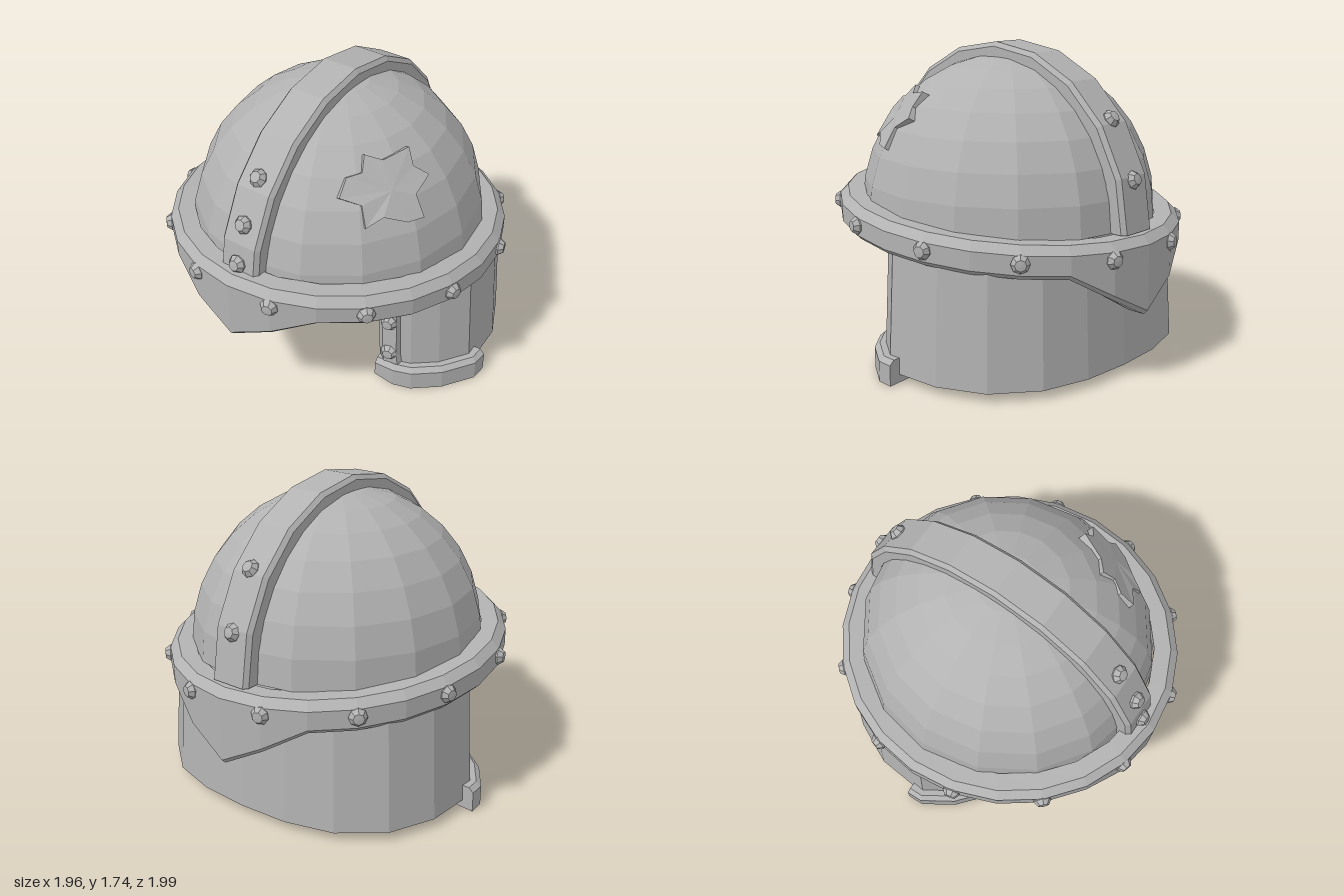
import * as THREE from 'three';

const steel = new THREE.MeshStandardMaterial({ color: 0xb2b2b2, flatShading: true, side: THREE.DoubleSide });
steel.name = 'steel grey';

// Flat-shaded solid through cross-sections of equal length; the winding is set outward by its volume
function loft(sections, ring = false) {
  const tris = [], n = sections[0].length, m = sections.length;
  for (let i = 0; i < (ring ? m : m - 1); i++) {
    const a = sections[i], b = sections[(i + 1) % m];
    for (let j = 0; j < n; j++) {
      const k = (j + 1) % n;
      tris.push([a[j], a[k], b[k]], [a[j], b[k], b[j]]);
    }
  }
  if (!ring) {
    [sections[0], sections[m - 1]].forEach((s, end) => {
      const c = s.reduce((sum, p) => sum.add(p), new THREE.Vector3()).divideScalar(n);
      s.forEach((p, j) => {
        const q = s[(j + 1) % n];
        tris.push(end ? [c, p, q] : [c, q, p]);
      });
    });
  }
  const solid = tris.filter(([a, b, c]) =>
    b.clone().sub(a).cross(c.clone().sub(a)).length() > 1e-8);
  const volume = solid.reduce((v, [a, b, c]) => v + a.dot(b.clone().cross(c)), 0);
  const points = solid.flatMap(([a, b, c]) => (volume > 0 ? [a, b, c] : [a, c, b]));
  const g = new THREE.BufferGeometry().setFromPoints(points);
  g.computeVertexNormals();
  return g;
}

const V = (x, y, z) => new THREE.Vector3(x, y, z);

// Plan path moved outward by d along its averaged normals
function offset(path, d) {
  return path.map(([x, z], i) => {
    const a = path[Math.max(i - 1, 0)], b = path[Math.min(i + 1, path.length - 1)];
    const dx = b[0] - a[0], dz = b[1] - a[1], l = Math.hypot(dx, dz);
    return [x - dz / l * d, z + dx / l * d];
  });
}

export function createModel() {
  const model = new THREE.Group();
  model.name = 'helmet';
  const add = (name, geometry) => {
    const mesh = new THREE.Mesh(geometry, steel);
    mesh.name = name;
    model.add(mesh);
    return mesh;
  };
  // Rounded eight-sided rivet
  const studShape = new THREE.LatheGeometry(
    [[0.046, -0.02], [0.05, 0.008], [0.03, 0.036], [0, 0.038]].map(p => new THREE.Vector2(...p)), 8);
  const addStud = (name, pos, normal) => {
    const stud = add(name, studShape);
    stud.position.copy(pos);
    stud.quaternion.setFromUnitVectors(V(0, 1, 0), normal.clone().normalize());
  };

  // Domed skull
  const dome = new THREE.SphereGeometry(1, 16, 8, 0, Math.PI * 2, 0, Math.PI / 2);
  dome.scale(0.82, 0.87, 0.86).translate(0, 0.8, 0);
  add('dome', dome);

  // Crest strip running front to back, with bevelled edges
  const crest = [];
  for (let i = 0; i <= 10; i++) {
    const t = Math.PI * i / 10;
    crest.push([[-0.12, 0.09], [-0.12, 0.025], [-0.1, 0], [0.1, 0], [0.12, 0.025], [0.12, 0.09]]
      .map(([x, d]) => V(x, 0.8 + (0.94 - d) * Math.sin(t), (0.925 - d) * Math.cos(t))));
  }
  add('crestStrip', loft(crest));
  for (const [y, z] of [[1.4, 0.7], [1.19, 0.835], [0.98, 0.9], [1.37, -0.725], [1.07, -0.875]]) {
    addStud('crestStud', V(0, y, z), V(0, y - 0.8, z));
  }

  // Tilted brow band with a downward point at the front and the back
  const band = [];
  for (let i = 0; i < 24; i++) {
    const a = i * Math.PI / 12, s = Math.sin(a), c = Math.cos(a);
    const top = 0.868 + 0.075 * c;
    const fromPoint = Math.min(i % 12, 12 - i % 12);
    const bottom = 0.7 + 0.08 * c - Math.max(0, 1 - fromPoint / 2) * (c > 0 ? 0.235 : 0.255);
    band.push([[0.14, top], [0.045, top], [0, top - 0.045], [0, bottom + 0.025], [0.025, bottom], [0.12, bottom]]
      .map(([d, y]) => V((0.94 - d) * s, y, (0.995 - d) * c)));
  }
  add('browBand', loft(band, true));
  for (let i = 0; i < 12; i++) {
    const a = (i + 0.5) * Math.PI / 6, s = Math.sin(a), c = Math.cos(a);
    addStud('bandStud', V(0.935 * s, 0.78 + 0.073 * c, 0.985 * c), V(s, 0, c));
  }

  // Neck guard and cheek guards as one flared wall, open at the front
  const cheek = [[0.5, 0.3], [0.61, 0.293], [0.69, 0.265], [0.815, 0.16], [0.922, 0]];
  const half = [...cheek, [0.9, -0.33], [0.785, -0.585], [0.56, -0.765], [0.29, -0.84]];
  const path = [...half, [0, -0.857], ...half.map(([x, z]) => [-x, z]).reverse()];
  const inner = offset(path, -0.08);
  const flare = 0.95;
  add('neckAndCheekGuard', loft(path.map(([x, z], i) => {
    const [u, w] = inner[i];
    return [V(x, 0.05, z), V(x * flare, 0.8, z * flare), V(u * flare, 0.8, w * flare), V(u, 0.05, w)];
  })));

  // Raised edging around each cheek guard
  const railPath = [...cheek, [0.922, -0.07]];
  const rings = [-0.08, 0.03, 0.058].map(d => offset(railPath, d));
  const stripPlan = [[0.475, 0.22], [0.487, 0.29], [0.535, 0.33], [0.62, 0.318], [0.63, 0.26], [0.56, 0.2]];
  for (const side of [1, -1]) {
    const name = side > 0 ? 'left' : 'right';
    const rail = railPath.map((_, i) => {
      const lift = [0.03, 0.005, 0, 0, 0, 0][i];
      return [[0, lift + 0.01], [2, lift], [2, 0.115], [1, 0.14], [0, 0.14]]
        .map(([r, y]) => V(side * rings[r][i][0], y, rings[r][i][1]));
    });
    add(name + 'CheekBottomRail', loft(rail));
    const strip = [[0.03, 1, 0.025], [0.2, 1, 0], [0.8, flare, 0]]
      .map(([y, k, shift]) => stripPlan.map(([x, z]) => V(side * (x * k + shift), y, z * k)));
    add(name + 'CheekFrontStrip', loft(strip));
    // Small tab at the top of the cheek guard
    add(name + 'CheekTab', new THREE.BoxGeometry(0.18, 0.12, 0.06)).position.set(side * 0.43, 0.74, 0.23);
    for (const [x, y] of [[0.572, 0.215], [0.562, 0.435]]) {
      addStud(name + 'CheekStud', V(side * x, y, 0.315), V(side * 0.2, 0, 1));
    }
  }

  // Jagged dent on the left front of the dome: a shallow dished plate, given as z and y
  const jag = [[0.55, 1.35], [0.47, 1.425], [0.40, 1.435], [0.34, 1.5], [0.28, 1.465], [0.135, 1.49], [0.165, 1.41],
    [0.12, 1.36], [0.235, 1.3], [0.25, 1.19], [0.34, 1.195], [0.435, 1.245], [0.525, 1.21], [0.49, 1.31]];
  const rim = jag.map(([z, y]) => {
    const onDome = 0.82 * Math.sqrt(1 - (z / 0.86) ** 2 - ((y - 0.8) / 0.87) ** 2);
    return V(Math.max(1.86 - 0.62 * z - 0.837 * y, onDome + 0.012), y, z);
  });
  const base = rim.map(p => p.clone().sub(V(0.05, 0.03, 0.025)));
  add('jaggedDent', loft([base, rim, rim.map(() => V(0.557, 1.34, 0.33))]));

  return model;
}
